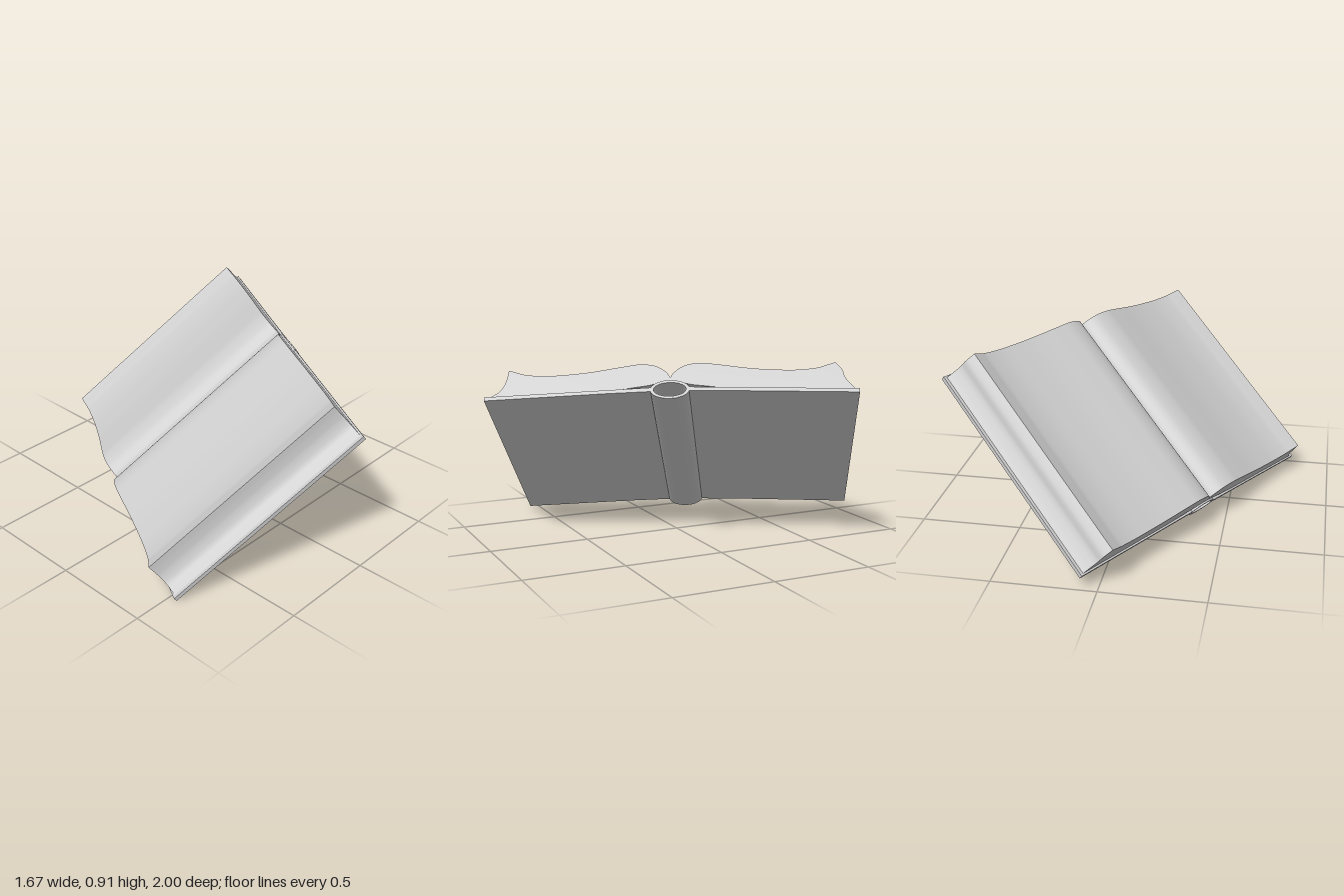
import * as THREE from 'three';
import { toCreasedNormals } from 'three/addons/utils/BufferGeometryUtils.js';

// Section plane: x runs across the open book, y away from the cover; z runs along the spine.
const COVER_LENGTH = 1.143;
const PAGE_LENGTH = 1.125;

const material = new THREE.MeshStandardMaterial({ color: 0xcccccc, side: THREE.DoubleSide });

function extrudeSection(name, shape, length, crease = 0.6) {
  const flat = new THREE.ExtrudeGeometry(shape, { depth: length, bevelEnabled: false, curveSegments: 10 });
  flat.translate(0, 0, -length / 2);
  const mesh = new THREE.Mesh(toCreasedNormals(flat, crease), material);
  mesh.name = name;
  return mesh;
}

// Cover board, sloping gently up towards the hinge
function coverShape(side) {
  const points = [[0.085, 0.03], [0.3, 0.024], [0.885, 0], [0.885, 0.02], [0.3, 0.043], [0.08, 0.052]];
  return new THREE.Shape(points.map(([x, y]) => new THREE.Vector2(side * x, y)));
}

// Half of the page block: swelling at the gutter, lifted outer lip, hollow fore edge
function pageShape(side, hollow) {
  const vec = (list) => list.map(([x, y]) => new THREE.Vector2(side * x, y));
  const shape = new THREE.Shape();
  shape.moveTo(0, 0.11);
  shape.splineThru(vec([[0.02, 0.143], [0.07, 0.178], [0.14, 0.19], [0.22, 0.18], [0.38, 0.153],
    [0.5, 0.141], [0.6, 0.137], [0.69, 0.145], [0.735, 0.158], [0.782, 0.174]]));
  shape.splineThru(vec([[hollow - 0.01, 0.13], [hollow, 0.09], [hollow + 0.025, 0.05], [0.872, 0.018]]));
  shape.lineTo(side * 0.3, 0.041);
  shape.splineThru(vec([[0.18, 0.058], [0.1, 0.07], [0.05, 0.084], [0, 0.088]]));
  return shape;
}

// Hollow spine: a flattened tube
function spineShape() {
  const shape = new THREE.Shape();
  shape.absellipse(0, 0.04, 0.094, 0.051, 0, Math.PI * 2);
  const hole = new THREE.Path();
  hole.absellipse(0, 0.04, 0.078, 0.038, 0, Math.PI * 2, true);
  shape.holes.push(hole);
  return shape;
}

export function createModel() {
  const book = new THREE.Group();
  book.name = 'openBook';

  for (const [label, side, hollow] of [['left', -1, 0.797], ['right', 1, 0.822]]) {
    book.add(extrudeSection(`${label}Cover`, coverShape(side), COVER_LENGTH));
    book.add(extrudeSection(`${label}Pages`, pageShape(side, hollow), PAGE_LENGTH));
  }
  book.add(extrudeSection('spine', spineShape(), COVER_LENGTH));

  // Tilt the book
  const across = new THREE.Vector3(0.87, 0.06, -1.54).normalize();
  const along = new THREE.Vector3(0.75, 0.73, 0.46).normalize();
  const up = along.clone().cross(across).normalize();
  along.crossVectors(across, up);
  book.setRotationFromMatrix(new THREE.Matrix4().makeBasis(across, up, along));
  book.position.set(0.02, 0.395, 0);

  const model = new THREE.Group();
  model.name = 'model';
  model.add(book);
  return model;
}
